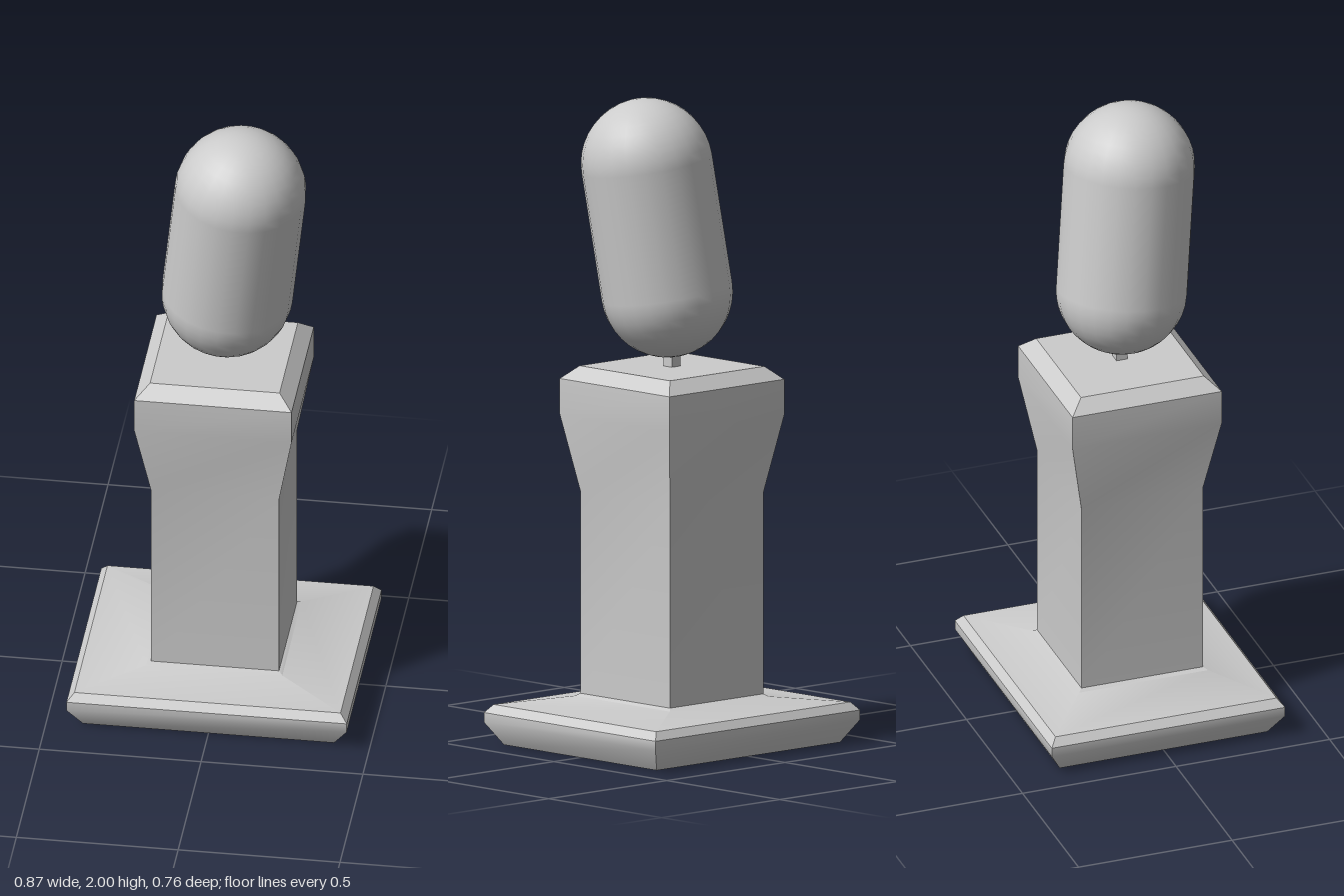
import * as THREE from 'three';
import { toCreasedNormals } from 'three/addons/utils/BufferGeometryUtils.js';

const material = new THREE.MeshStandardMaterial({ color: 0xcccccc });

// Rectangular loft from [y, halfX, halfZ] levels, closed at both ends
function rectLoft(levels) {
  const positions = [];
  const indices = [];
  for (const [y, hx, hz] of levels) {
    positions.push(hx, y, hz, hx, y, -hz, -hx, y, -hz, -hx, y, hz);
  }
  for (let i = 0; i < levels.length - 1; i++) {
    for (let k = 0; k < 4; k++) {
      const a = i * 4 + k;
      const b = i * 4 + ((k + 1) % 4);
      indices.push(a, b, b + 4, a, b + 4, a + 4);
    }
  }
  const t = (levels.length - 1) * 4;
  indices.push(0, 2, 1, 0, 3, 2, t, t + 1, t + 2, t, t + 2, t + 3);
  const geometry = new THREE.BufferGeometry();
  geometry.setAttribute('position', new THREE.Float32BufferAttribute(positions, 3));
  geometry.setIndex(indices);
  return toCreasedNormals(geometry, 0.6);
}

function addPart(group, name, geometry) {
  const mesh = new THREE.Mesh(geometry, material);
  mesh.name = name;
  group.add(mesh);
  return mesh;
}

export function createModel() {
  const model = new THREE.Group();
  model.name = 'pedestalWithCapsule';

  // Bevelled foot plate, sloping up to the column
  addPart(model, 'base', rectLoft([
    [0, 0.388, 0.338],
    [0.07, 0.433, 0.38],
    [0.1, 0.433, 0.38],
    [0.125, 0.411, 0.36],
    [0.147, 0.21, 0.21],
    [0.155, 0.198, 0.198],
  ]));

  // Square column flaring into a chamfered head
  addPart(model, 'column', rectLoft([
    [0.14, 0.198, 0.198],
    [0.78, 0.198, 0.198],
    [1.02, 0.243, 0.243],
    [1.13, 0.243, 0.243],
    [1.17, 0.2, 0.2],
  ]));

  // Thin square pin carrying the capsule
  const pin = addPart(model, 'pin', new THREE.BoxGeometry(0.036, 0.12, 0.036));
  pin.position.y = 1.2;

  // Leaning capsule, set between its two end centres
  const bottom = new THREE.Vector3(0.012, 1.401, 0.01);
  const top = new THREE.Vector3(0.058, 1.798, 0.051);
  const axis = top.clone().sub(bottom);
  const capsule = addPart(model, 'capsule',
    new THREE.CapsuleGeometry(0.202, axis.length(), 10, 24));
  capsule.position.copy(bottom).add(top).multiplyScalar(0.5);
  capsule.quaternion.setFromUnitVectors(new THREE.Vector3(0, 1, 0), axis.normalize());

  return model;
}
